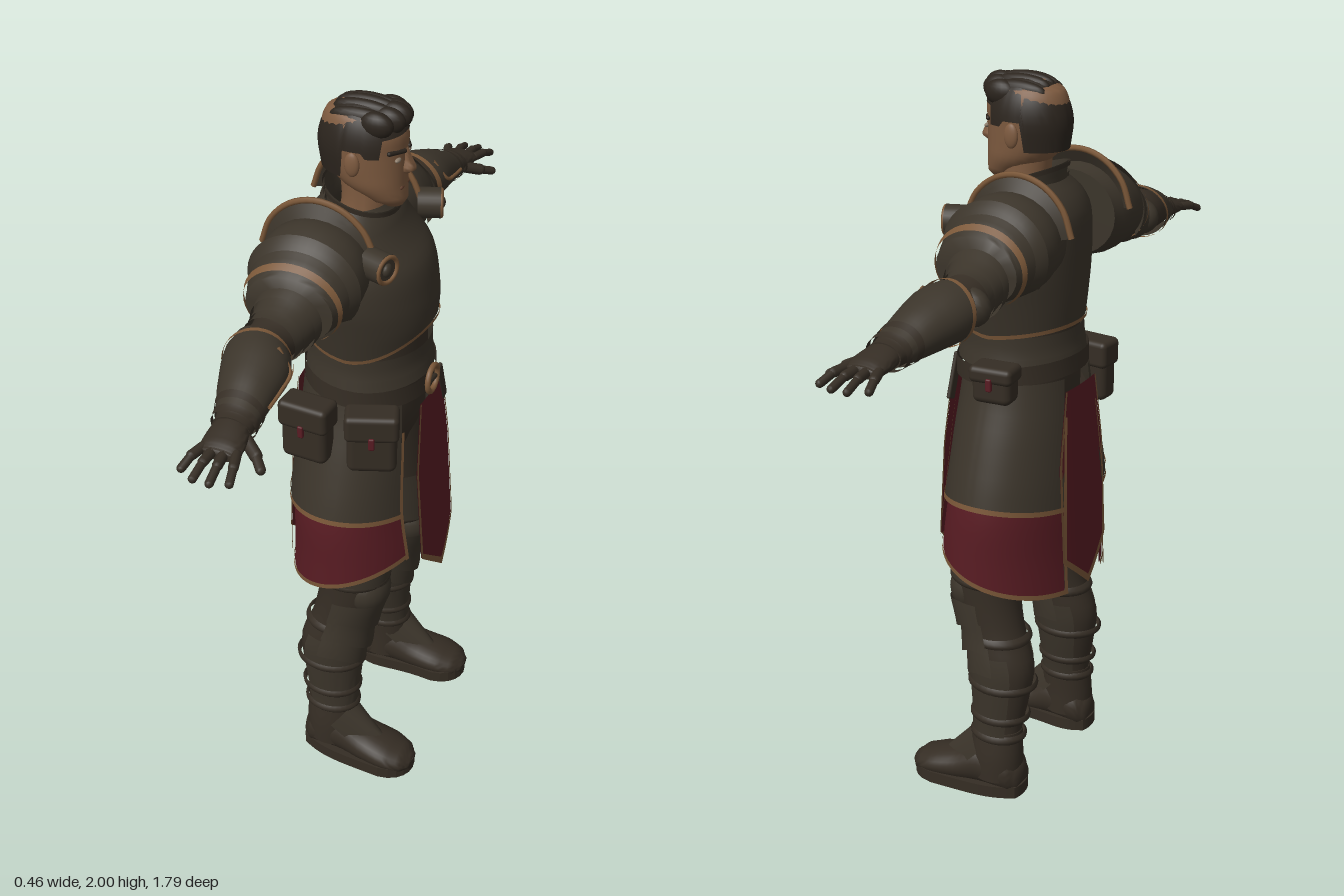
import * as THREE from 'three';
import { toCreasedNormals } from 'three/addons/utils/BufferGeometryUtils.js';
import { RoundedBoxGeometry } from 'three/addons/geometries/RoundedBoxGeometry.js';

const mat = (name, color) => new THREE.MeshStandardMaterial({ name, color, side: THREE.DoubleSide });
const V = (x, y, z) => new THREE.Vector3(x, y, z);
const PI = Math.PI;

// Grid surface from a function (u, v) -> [x, y, z]
function sheet(fn, nu = 24, nv = 8, crease = 0.8) {
  const pos = [], idx = [], w = nu + 1;
  for (let j = 0; j <= nv; j++) for (let i = 0; i <= nu; i++) pos.push(...fn(i / nu, j / nv));
  for (let j = 0; j < nv; j++) for (let i = 0; i < nu; i++) {
    const a = j * w + i;
    idx.push(a, a + 1, a + w, a + 1, a + w + 1, a + w);
  }
  const g = new THREE.BufferGeometry();
  g.setAttribute('position', new THREE.Float32BufferAttribute(pos, 3));
  g.setIndex(idx);
  return toCreasedNormals(g, crease);
}

// Rings are [t, a, b, ra, rb] along an axis, in ascending t
const place = { y: (t, a, b) => [a, t, b], x: (t, a, b) => [t, a, b], z: (t, a, b) => [a, b, t] };
function at(rings, t) {
  const n = rings.length - 1;
  let i = 0;
  while (i < n - 1 && t > rings[i + 1][0]) i++;
  const k = Math.min(1, Math.max(0, (t - rings[i][0]) / (rings[i + 1][0] - rings[i][0])));
  return rings[i].map((p, c) => {
    const q = rings[i + 1][c], m0 = (q - rings[Math.max(i - 1, 0)][c]) / 2, m1 = (rings[Math.min(i + 2, n)][c] - p) / 2;
    return c === 0 ? t : p + m0 * k + (3 * (q - p) - 2 * m0 - m1) * k * k + (m0 + m1 - 2 * (q - p)) * k * k * k;
  });
}
const point = (r, ang, axis, grow = 0) => place[axis](r[0],
  r[1] + (r[3] + grow) * Math.sin(ang), r[2] + (r[4] + grow) * Math.cos(ang));

// Closed solid through the rings
function loft(rings, axis = 'y', crease = 1.2, nu = 28) {
  const rows = [];
  rings.forEach((r, i) => {
    const next = rings[i + 1];
    for (let k = 0; k < (next ? 4 : 1); k++) rows.push(next ? at(rings, r[0] + (next[0] - r[0]) * k / 4) : r);
  });
  const cap = r => [r[0], r[1], r[2], 0, 0];
  rows.unshift(cap(rows[0]));
  rows.push(cap(rows[rows.length - 1]));
  const s = axis === 'y' ? 1 : -1, n = rows.length - 1;
  return sheet((u, v) => point(rows[Math.round(v * n)], s * u * 2 * PI, axis), nu, n, crease);
}

// Plate lying on the surface of the rings between two edges that may vary with the angle
function wrap(rings, low, high, { a0 = 0, a1 = 2 * PI, grow = 0, axis = 'y', nu = 32, nv = 8 } = {}) {
  const f = (e, a) => (typeof e === 'function' ? e(a) : e);
  return sheet((u, v) => {
    const a = axis === 'y' ? a0 + (a1 - a0) * u : a1 + (a0 - a1) * u;
    const t = f(low, a) + (f(high, a) - f(low, a)) * v;
    return point(at(rings, t), a, axis, typeof grow === 'function' ? grow(v) : grow);
  }, nu, nv);
}
const ball = (x, y, z, rx, ry, rz) => new THREE.SphereGeometry(1, 18, 12).scale(rx, ry, rz).translate(x, y, z);
function rod(p, q, r) {
  const d = q.clone().sub(p);
  return new THREE.CapsuleGeometry(r, d.length(), 4, 10)
    .applyQuaternion(new THREE.Quaternion().setFromUnitVectors(V(0, 1, 0), d.clone().normalize()))
    .translate(...p.clone().add(q).multiplyScalar(0.5).toArray());
}
const tube = (pts, r) => new THREE.TubeGeometry(new THREE.CatmullRomCurve3(pts.map(p => V(...p))), 24, r, 6);

function mirrored(geo) {
  const g = geo.clone().scale(-1, 1, 1);
  const idx = g.index ? Array.from(g.index.array) : Array.from({ length: g.attributes.position.count }, (_, i) => i);
  for (let i = 0; i < idx.length; i += 3) [idx[i + 1], idx[i + 2]] = [idx[i + 2], idx[i + 1]];
  g.setIndex(idx);
  return g;
}

export function createModel() {
  const steel = mat('dark armour', 0x3b342a), leather = mat('leather', 0x352d24), cloth = mat('red cloth', 0x591c23);
  const bronze = mat('bronze trim', 0x7a5738), skin = mat('skin', 0x7d5a3f), hairMat = mat('hair', 0x2b241d);
  const eyeMat = mat('eye', 0x8a7a68), lipMat = mat('lips', 0x65412f);
  const figure = new THREE.Group();
  figure.name = 'figure';
  const add = (name, geo, m) => {
    const mesh = new THREE.Mesh(geo, m);
    mesh.name = name;
    figure.add(mesh);
  };
  const pair = (name, geo, m) => { add('left ' + name, geo, m); add('right ' + name, mirrored(geo), m); };

  // Head
  add('head', loft([[1.722, 0, 0.055, 0.025, 0.03], [1.74, 0, 0.042, 0.05, 0.054], [1.78, 0, 0.008, 0.073, 0.086],
    [1.82, 0, -0.01, 0.08, 0.104], [1.87, 0, -0.016, 0.083, 0.11], [1.92, 0, -0.016, 0.083, 0.111],
    [1.96, 0, -0.02, 0.068, 0.092], [1.985, 0, -0.02, 0.035, 0.05]], 'y', 3), skin);
  add('neck', loft([[1.62, 0, -0.03, 0.075, 0.07], [1.72, 0, -0.01, 0.063, 0.065], [1.8, 0, -0.01, 0.062, 0.07]]), skin);
  add('nose', loft([[1.812, 0, 0.092, 0.012, 0.01], [1.824, 0, 0.097, 0.018, 0.022], [1.85, 0, 0.093, 0.01, 0.016],
    [1.878, 0, 0.088, 0.009, 0.009]], 'y', 2, 14), skin);
  add('mouth', rod(V(-0.02, 1.777, 0.086), V(0.02, 1.777, 0.086), 0.007), lipMat);
  pair('eye', ball(0.034, 1.857, 0.084, 0.013, 0.006, 0.007), eyeMat);
  pair('eyebrow', rod(V(0.016, 1.876, 0.094), V(0.056, 1.88, 0.07), 0.006), hairMat);
  pair('ear', ball(0.087, 1.85, -0.015, 0.01, 0.032, 0.02), skin);

  // Hair: dome with a hairline that drops from brow to nape
  const hairline = a => {
    const d = Math.abs(Math.atan2(Math.sin(a), Math.cos(a)));
    return d < 0.9 ? 1.925 - 0.01 * d : d < 1.35 ? 1.87 : d < 1.8 ? 1.885 : 1.81;
  };
  add('hair', sheet((u, v) => {
    const a = u * 2 * PI, b = hairline(a), y = b + (1.992 - b) * Math.sin(v * PI / 2);
    const s = y > 1.87 ? Math.sqrt(Math.max(0, 1 - ((y - 1.87) / 0.1225) ** 2)) : 1 - (1.87 - y) * 1.6;
    const k = Math.pow(s, 0.8);
    return [0.092 * k * Math.sin(a), y, -0.016 + 0.121 * k * Math.cos(a)];
  }, 64, 12, 1.2), hairMat);
  for (let i = -2; i <= 2; i++) {
    add('hair tuft', ball(i * 0.026, 1.958 - Math.abs(i) * 0.005, 0.062 - i * i * 0.007, 0.025, 0.034, 0.045), hairMat);
    add('hair lock', ball(i * 0.022, 1.972 - i * i * 0.004, -0.01, 0.02, 0.027, 0.08), hairMat);
  }

  // Torso
  const chest = [[1.3, 0, 0.0, 0.165, 0.15], [1.36, 0, 0.002, 0.175, 0.16], [1.43, 0, 0.004, 0.188, 0.168],
    [1.5, 0, 0, 0.2, 0.167], [1.58, 0, -0.01, 0.198, 0.158], [1.65, 0, -0.033, 0.175, 0.13],
    [1.7, 0, -0.035, 0.14, 0.105], [1.73, 0, -0.03, 0.1, 0.08]];
  const edge = a => 1.34 + 0.07 * Math.max(0, Math.cos(a)) ** 2 + 0.02 * Math.max(0, -Math.cos(a));
  add('body', loft([[1.0, 0, 0, 0.12, 0.1], [1.1, 0, 0, 0.175, 0.14], [1.25, 0, 0, 0.17, 0.15],
    [1.32, 0, 0, 0.16, 0.148], [1.45, 0, 0, 0.165, 0.15]]), leather);
  add('breastplate', wrap(chest, edge, 1.73, { nu: 48, nv: 20, grow: 0.004 }), steel);
  add('breastplate trim', wrap(chest, a => edge(a) - 0.004, a => edge(a) + 0.007, { nu: 48, nv: 1, grow: 0.008 }), bronze);
  [1.315, 1.285].forEach((y, i) => add('waist lame', wrap(chest, y - 0.03, y + 0.03,
    { nv: 4, grow: v => 0.014 - 0.012 * v + i * 0.004 }), steel));
  const neckRing = [[1.65, 0, -0.03, 0.12, 0.105], [1.7, 0, -0.022, 0.1, 0.09], [1.8, 0, -0.018, 0.11, 0.1]];
  const rim = a => 1.745 - 0.03 * Math.cos(a);
  add('collar', wrap(neckRing, 1.65, rim), steel);
  [0, 0.028].forEach(d => add('collar rib', wrap(neckRing, a => rim(a) - d - 0.012, a => rim(a) - d,
    { nv: 2, grow: 0.006 }), d ? steel : leather));

  // Skirt plates with red lower cloth and bronze edges
  const skirt = [[0.58, 0, 0, 0.28, 0.202], [0.72, 0, 0, 0.282, 0.195], [0.88, 0, -0.01, 0.278, 0.182],
    [1.05, 0, -0.01, 0.235, 0.172], [1.22, 0, -0.01, 0.185, 0.162]];
  const hem = a => 0.675 + 0.065 * Math.cos(a), seam = a => 0.88 + 0.018 * Math.cos(2 * a + PI);
  const side = { a0: 0.56, a1: 2.78 };
  pair('skirt plate', wrap(skirt, seam, 1.22, { ...side, grow: v => 0.01 - 0.01 * v }), steel);
  pair('skirt cloth', wrap(skirt, hem, a => seam(a) + 0.01, side), cloth);
  pair('skirt seam trim', wrap(skirt, a => seam(a) - 0.006, a => seam(a) + 0.008, { ...side, nv: 1, grow: 0.013 }), bronze);
  pair('skirt hem trim', wrap(skirt, a => hem(a) - 0.006, a => hem(a) + 0.008, { ...side, nv: 1, grow: 0.003 }), bronze);
  [[0.55, 0.59], [2.75, 2.79]].forEach(([a0, a1]) =>
    pair('skirt edge trim', wrap(skirt, hem, 1.12, { a0, a1, nu: 1, grow: 0.012 }), bronze));

  // Hanging centre panels
  const panel = (s, u0, u1, v0, v1, lift) => sheet((p, q) => {
    const u = u0 + (u1 - u0) * p, v = v0 + (v1 - v0) * q, low = 0.61 + 0.1 * Math.abs(u), y = 1.19 + (low - 1.19) * v;
    const x = u * (0.08 + 0.037 * Math.min(1, (1.19 - y) / 0.2)), drop = (1.19 - y) / 0.58;
    return [x, y, s * ((s > 0 ? 0.175 : 0.178) + 0.038 * drop * (s > 0 ? 1 : 0.7) - 0.7 * x * x + lift)];
  }, 16, 16);
  [['front', 1], ['back', -1]].forEach(([n, s]) => {
    add(n + ' panel', panel(s, -1, 1, 0, 1, 0), cloth);
    add(n + ' panel hem', panel(s, -1, 1, 0.965, 1.005, 0.003), bronze);
    pair(n + ' panel edge', panel(s, 0.94, 1.02, 0, 1, 0.003), bronze);
  });

  // Belt, buckle and pouches
  const belt = [[1.18, 0, 0, 0.188, 0.164], [1.3, 0, 0, 0.184, 0.162]];
  add('belt', wrap(belt, a => 1.215 - 0.012 * Math.cos(a), a => 1.265 - 0.012 * Math.cos(a), { nv: 2, grow: 0.008 }), leather);
  add('buckle', new THREE.TorusGeometry(0.036, 0.008, 8, 24).translate(-0.01, 1.233, 0.178), bronze);
  add('buckle tongue', rod(V(-0.04, 1.238, 0.18), V(0.06, 1.215, 0.172), 0.007), leather);
  add('belt tail', new RoundedBoxGeometry(0.03, 0.13, 0.012, 2, 0.005).rotateZ(0.35).translate(0.075, 1.17, 0.172), leather);
  [[-0.228, 1.145, -0.083, 0.17, 0.13, -0.08], [-0.212, 1.145, 0.09, 0.17, 0.13, 0.35], [0.213, 1.235, -0.04, 0.1, 0.11, 0.1]]
    .forEach(([x, y, z, h, w, turn]) => {
      const pose = g => g.rotateY(turn).translate(x, y, z), out = Math.sign(x);
      add('pouch', pose(new RoundedBoxGeometry(0.07, h, w, 3, 0.02)), leather);
      add('pouch flap', pose(new RoundedBoxGeometry(0.082, h * 0.45, w + 0.012, 3, 0.015).translate(0, h * 0.3, 0)), leather);
      add('pouch clasp', pose(new RoundedBoxGeometry(0.012, 0.035, 0.016, 2, 0.004).translate(out * 0.04, h * 0.08, 0)), cloth);
    });

  // Shoulders
  const cap = [[0.13, 1.61, -0.07, 0.115, 0.13], [0.2, 1.608, -0.07, 0.13, 0.143], [0.27, 1.6, -0.07, 0.117, 0.138],
    [0.32, 1.587, -0.07, 0.1, 0.125], [0.35, 1.578, -0.07, 0.086, 0.115]];
  const X = { axis: 'x' };
  pair('shoulder plate', loft(cap, 'x'), steel);
  pair('shoulder trim', wrap(cap, 0.325, 0.34, { ...X, nv: 1, grow: 0.008, a0: -0.9, a1: PI + 0.9 }), bronze);
  pair('shoulder ridge', wrap(cap, 0.26, 0.29, { ...X, nv: 3, grow: v => 0.012 * (1 - v), a0: -0.6, a1: PI + 0.6 }), steel);
  pair('shoulder guard', sheet((u, v) => {
    const a = 0.25 + u * 2.75, r = 0.11 + 0.055 * v;
    return [0.185 - 0.028 * v, 1.61 + r * Math.sin(a), -0.075 + (r - 0.01) * Math.cos(a)];
  }), steel);
  pair('shoulder guard trim', tube([0, 1, 2, 3, 4, 5, 6].map(i => {
    const a = 0.25 + i / 6 * 2.75;
    return [0.158, 1.61 + 0.165 * Math.sin(a), -0.075 + 0.155 * Math.cos(a)];
  }), 0.008), bronze);
  const disc = (r, h, z) => new THREE.CylinderGeometry(r, r, h, 24).rotateX(PI / 2).rotateY(0.35).translate(0.175, 1.64, z);
  pair('shoulder disc', disc(0.04, 0.06, 0.09), steel);
  pair('shoulder disc ring', new THREE.TorusGeometry(0.034, 0.006, 8, 24).rotateY(0.35).translate(0.185, 1.64, 0.119), bronze);
  pair('shoulder disc boss', ball(0.185, 1.64, 0.118, 0.018, 0.018, 0.012), steel);

  // Arms
  const arm = [[0.2, 1.59, -0.07, 0.08, 0.09], [0.32, 1.565, -0.07, 0.074, 0.085], [0.4, 1.535, -0.08, 0.06, 0.065],
    [0.45, 1.525, -0.09, 0.058, 0.06], [0.52, 1.52, -0.075, 0.06, 0.075], [0.62, 1.5, -0.062, 0.05, 0.062],
    [0.69, 1.48, -0.05, 0.037, 0.05], [0.72, 1.475, -0.048, 0.033, 0.048]];
  pair('arm', loft(arm, 'x'), leather);
  [[0.31, 0.375, 0.016], [0.35, 0.405, 0.012], [0.385, 0.43, 0.01]].forEach(([l, h, g]) =>
    pair('arm lame', wrap(arm, l, h, { ...X, nv: 4, grow: v => g * (0.5 + 0.5 * v) }), steel));
  pair('elbow plate', ball(0.45, 1.525, -0.115, 0.04, 0.05, 0.055), steel);
  const cuff = a => 0.5 - 0.02 * Math.cos(a - 0.8);
  pair('gauntlet', wrap(arm, cuff, 0.69, { ...X, grow: v => 0.014 - 0.01 * v }), steel);
  pair('gauntlet trim', wrap(arm, a => cuff(a) - 0.004, a => cuff(a) + 0.009, { ...X, nv: 1, grow: 0.018 }), bronze);
  const onArm = (t, a) => point(at(arm, t), a, 'x', 0.012);
  pair('gauntlet line', tube([onArm(0.51, 0.9), onArm(0.525, 0.1), onArm(0.58, 0), onArm(0.64, 0.1)], 0.005), bronze);
  [0.655, 0.69].forEach(t => pair('wrist strap', wrap(arm, t, t + 0.018, { ...X, nv: 2, grow: 0.009 }), leather));

  // Hands
  pair('palm', loft([[0.7, 1.478, -0.048, 0.03, 0.042], [0.74, 1.472, -0.045, 0.028, 0.05],
    [0.785, 1.466, -0.042, 0.021, 0.052], [0.805, 1.463, -0.042, 0.014, 0.046]], 'x'), leather);
  [[-0.083, 0.86], [-0.056, 0.885], [-0.028, 0.887], [0, 0.872]].forEach(([z, tip], i) => {
    const p = V(0.79, 1.466, z), m = V((0.79 + tip) / 2, 1.462, z + (i - 1.5) * 0.008), q = V(tip, 1.447, z + (i - 1.5) * 0.014);
    pair('finger base', rod(p, m, 0.0125), leather);
    pair('finger tip', rod(m, q, 0.0105), leather);
  });
  pair('thumb base', rod(V(0.72, 1.465, -0.015), V(0.755, 1.448, 0.03), 0.016), leather);
  pair('thumb tip', rod(V(0.755, 1.448, 0.03), V(0.785, 1.435, 0.056), 0.012), leather);

  // Legs
  const leg = [[0.08, 0.205, -0.035, 0.052, 0.066], [0.2, 0.198, -0.036, 0.053, 0.068], [0.3, 0.19, -0.042, 0.065, 0.08],
    [0.4, 0.183, -0.04, 0.074, 0.092], [0.5, 0.174, -0.015, 0.072, 0.082], [0.6, 0.167, 0.01, 0.08, 0.09],
    [0.72, 0.16, 0.012, 0.088, 0.1], [0.9, 0.14, 0, 0.1, 0.112], [1.12, 0.1, 0, 0.092, 0.11]];
  pair('leg', loft(leg), leather);
  const vee = (y, d) => a => y - d * (1 - Math.min(1, Math.abs(a) / 1.2));
  pair('thigh plate', wrap(leg, vee(0.66, 0.02), 0.82, { a0: -2, a1: 2, grow: v => 0.015 - 0.008 * v }), steel);
  pair('knee cap', ball(0.167, 0.605, 0.058, 0.074, 0.075, 0.066), steel);
  [[0.53, 0.05, 0.6, 0.03], [0.46, 0.06, 0.54, 0.024], [0.39, 0.05, 0.47, 0.014]].forEach(([y, d, top, g]) =>
    pair('knee lame', wrap(leg, vee(y, d), vee(top, d * 0.5), { a0: -1.7, a1: 1.7, nv: 4, grow: v => g - 0.006 * v }), steel));
  pair('greave', wrap(leg, vee(0.17, -0.03), vee(0.44, 0.03), { a0: -2.2, a1: 2.2, grow: 0.009 }), steel);
  [0.17, 0.23, 0.33, 0.47, 0.64].forEach(y =>
    pair('leg strap', wrap(leg, y, y + 0.026, { nv: 3, grow: v => 0.008 + 0.008 * Math.sin(v * PI) }), leather));

  // Boots
  pair('boot shaft', loft([[0.05, 0.205, -0.035, 0.066, 0.075], [0.12, 0.205, -0.034, 0.063, 0.076],
    [0.2, 0.199, -0.034, 0.058, 0.072]]), leather);
  pair('boot', loft([[-0.112, 0.2, 0.05, 0.035, 0.042], [-0.09, 0.202, 0.062, 0.058, 0.058], [0, 0.207, 0.078, 0.064, 0.07],
    [0.07, 0.213, 0.057, 0.068, 0.052], [0.15, 0.218, 0.045, 0.071, 0.04], [0.2, 0.22, 0.036, 0.055, 0.03],
    [0.22, 0.22, 0.03, 0.03, 0.018]], 'z'), leather);
  const sole = new THREE.Shape();
  sole.moveTo(0.165, 0.11);
  sole.bezierCurveTo(0.12, 0.04, 0.16, 0, 0.142, -0.14);
  sole.bezierCurveTo(0.15, -0.25, 0.285, -0.25, 0.291, -0.14);
  sole.bezierCurveTo(0.28, 0, 0.28, 0.04, 0.24, 0.11);
  sole.bezierCurveTo(0.22, 0.12, 0.185, 0.12, 0.165, 0.11);
  pair('sole', new THREE.ExtrudeGeometry(sole, { depth: 0.035, bevelEnabled: false, curveSegments: 10 }).rotateX(-PI / 2), leather);
  pair('instep plate', sheet((u, v) => {
    const a = (u - 0.5) * 2, w = 0.068 * (1 - 0.35 * v);
    return [0.212 + a * w, 0.19 - 0.1 * v - 0.05 * a * a, 0.035 + 0.09 * v - 0.045 * a * a];
  }, 12, 6), steel);

  // The figure looks along +x
  figure.rotation.y = PI / 2;
  const model = new THREE.Group();
  model.name = 'armouredFigure';
  model.add(figure);
  return model;
}
